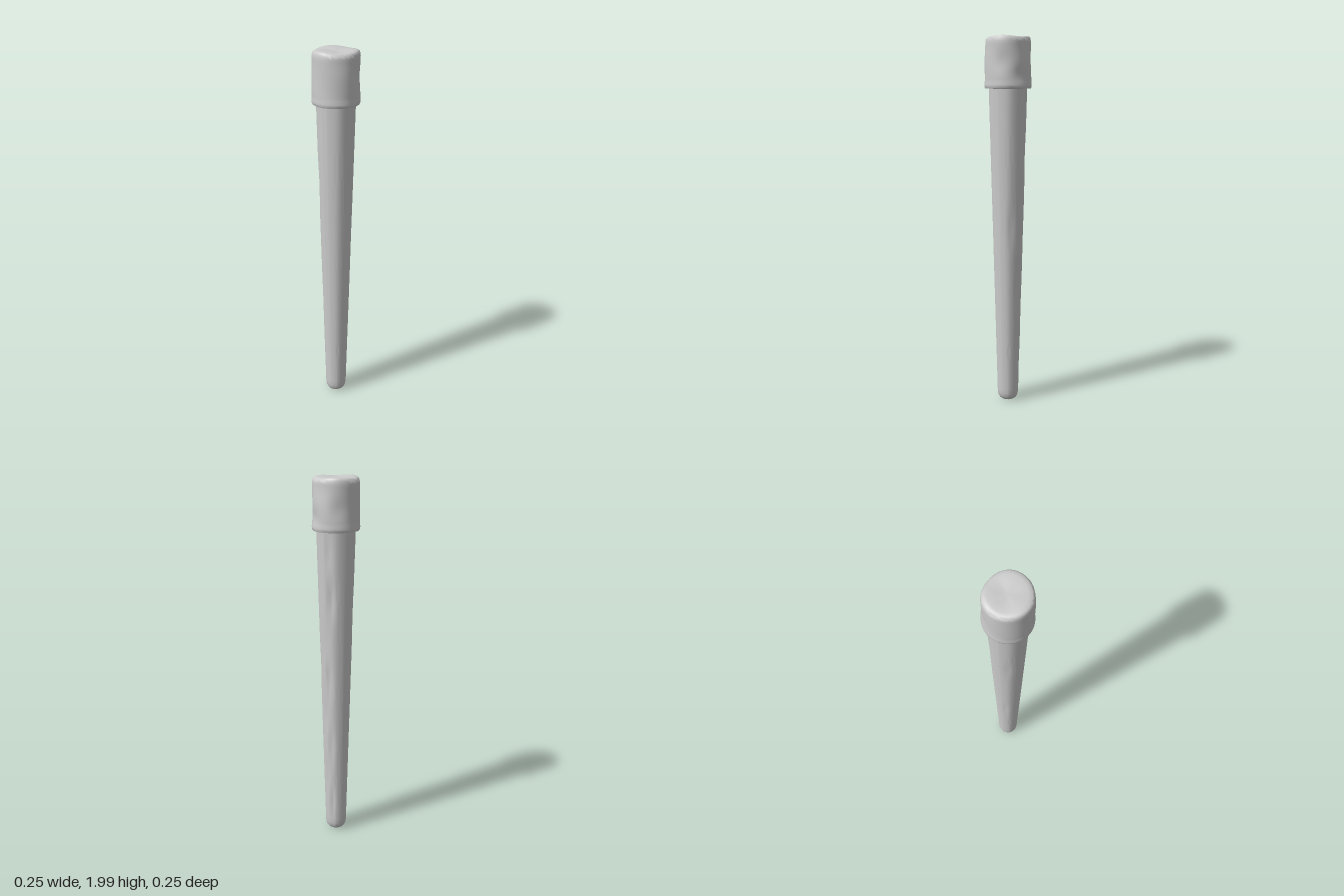
import * as THREE from 'three';
import { mergeVertices, toCreasedNormals } from 'three/addons/utils/BufferGeometryUtils.js';

const material = new THREE.MeshStandardMaterial({ color: 0xcccccc });

// Smooth bump centred on an angle and a height
function bump(angle, y, a0, y0, aWidth, yWidth) {
  const d = Math.atan2(Math.sin(angle - a0), Math.cos(angle - a0));
  return Math.exp(-((d / aWidth) ** 2) - ((y - y0) / yWidth) ** 2);
}

// Lathe whose radius is scaled by a rule of angle (0 = front, PI/2 = left) and height
function carvedLathe(name, profile, segments, rule, crease) {
  const points = profile.map(([r, y]) => new THREE.Vector2(r, y));
  let geo = new THREE.LatheGeometry(points, segments);
  geo.deleteAttribute('uv');
  geo.deleteAttribute('normal');
  const p = geo.attributes.position;
  for (let i = 0; i < p.count; i++) {
    const x = p.getX(i), y = p.getY(i), z = p.getZ(i);
    const { scale, dy } = rule(Math.atan2(x, z), y, Math.hypot(x, z));
    p.setXYZ(i, x * scale, y + dy, z * scale);
  }
  geo = mergeVertices(geo, 1e-5);
  geo = toCreasedNormals(geo, crease);
  const mesh = new THREE.Mesh(geo, material);
  mesh.name = name;
  return mesh;
}

export function createModel() {
  const group = new THREE.Group();
  group.name = 'taperedStake';

  // Tapered shaft with a rounded foot
  const shaftProfile = [[0, 0.008], [0.02, 0.01], [0.035, 0.014], [0.046, 0.022], [0.053, 0.034], [0.057, 0.055]];
  const rows = 60;
  for (let i = 1; i <= rows; i++) {
    const t = i / rows;
    shaftProfile.push([0.057 + 0.044 * t, 0.055 + 1.705 * t]);
  }
  // Hewn hollows down the left and rear-left side: [angle, height, depth]
  const hollows = [
    [1.95, 1.62, 0.06], [2.1, 1.38, 0.1], [1.75, 1.15, 0.05], [1.9, 0.93, 0.1],
    [1.6, 0.72, 0.08], [2.05, 0.55, 0.08], [1.65, 0.36, 0.07], [2.1, 0.2, 0.1],
    [-2.5, 1.3, 0.04], [-2.7, 0.6, 0.04], [0.9, 1.0, 0.04],
  ];
  group.add(carvedLathe('shaft', shaftProfile, 64, (a, y) => {
    let scale = 1 + 0.008 * Math.cos(8 * a + 0.5 * Math.sin(2 * y));
    for (const [a0, y0, depth] of hollows) scale -= depth * bump(a, y, a0, y0, 0.22, 0.1);
    // Fine pleats around the foot
    if (y < 0.05) scale += 0.025 * Math.cos(16 * a) * (1 - y / 0.05);
    return { scale, dy: 0 };
  }, 0.9));

  // Soft-edged collar with a flared lower rim and a worn top
  const capProfile = [
    [0, 1.74], [0.098, 1.738], [0.112, 1.73], [0.12, 1.731], [0.1235, 1.738], [0.124, 1.75], [0.122, 1.765],
  ];
  for (let i = 1; i <= 14; i++) capProfile.push([0.122 - 0.001 * (i / 14), 1.765 + 0.0145 * i]);
  capProfile.push([0.119, 1.982], [0.115, 1.991], [0.107, 1.996], [0.09, 1.998], [0.06, 1.997], [0.03, 1.995], [0, 1.994]);
  group.add(carvedLathe('cap', capProfile, 64, (a, y, r) => {
    const upper = THREE.MathUtils.smoothstep(y, 1.75, 1.8);
    let scale = 1 + upper * 0.008 * Math.sin(3 * a + 22 * y);
    scale -= 0.07 * bump(a, y, 1.6, 1.96, 0.6, 0.08);
    scale -= 0.05 * bump(a, y, 1.3, 1.8, 0.35, 0.04);
    scale -= 0.04 * bump(a, y, 0.5, 1.87, 0.35, 0.05);
    scale -= 0.04 * bump(a, y, 2.5, 1.84, 0.35, 0.05);
    scale -= 0.03 * bump(a, y, -0.8, 1.96, 0.5, 0.06);
    // Gentle waves in the top face
    const dy = y > 1.985 ? 0.003 * (r / 0.1) * Math.sin(3 * a + 0.4) - 0.001 : 0;
    return { scale, dy };
  }, 0.9));

  return group;
}
